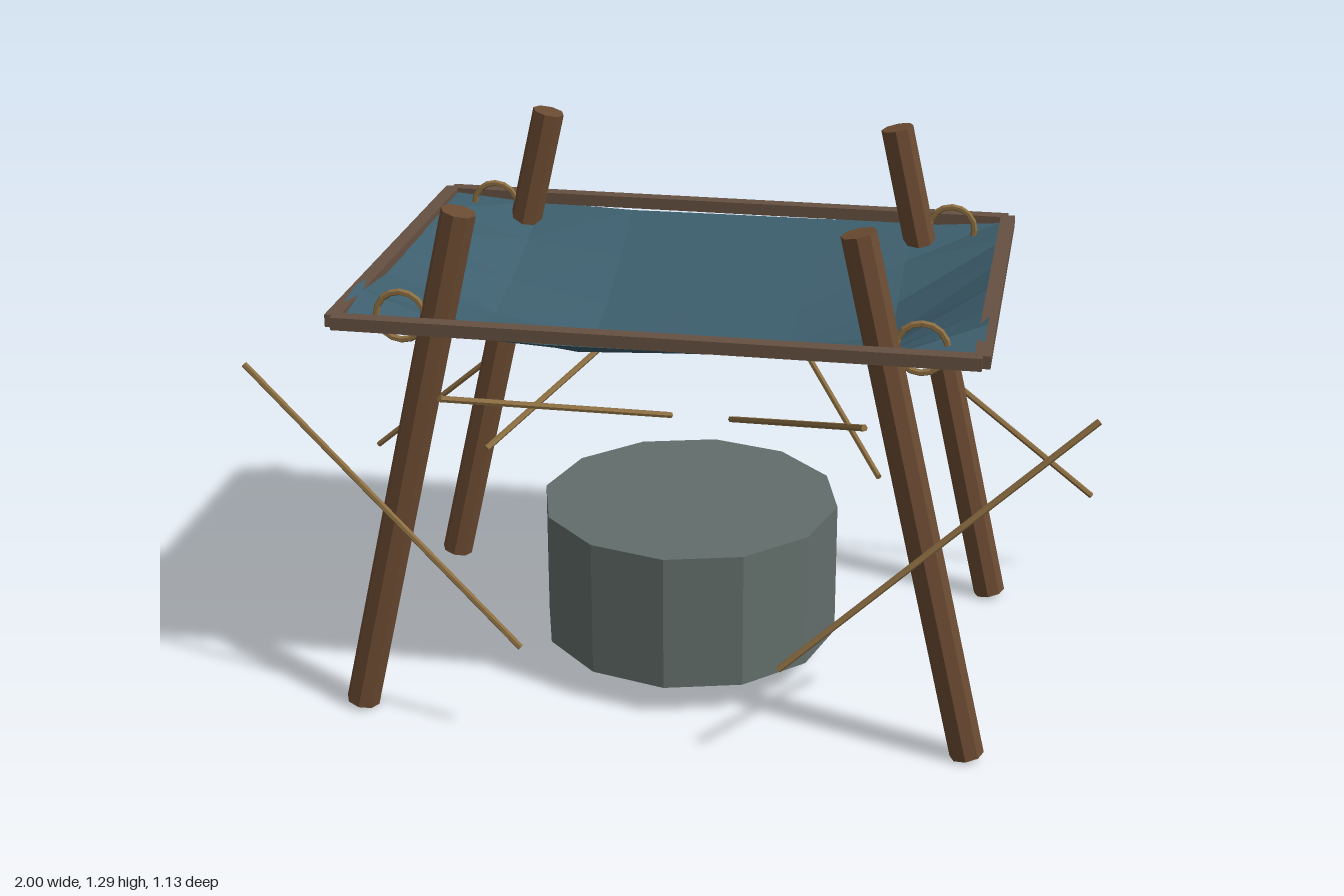
import * as THREE from 'three';

const mat = (name, color) => {
  const m = new THREE.MeshStandardMaterial({ color, flatShading: true });
  m.name = name;
  return m;
};

export function createModel() {
  const group = new THREE.Group();
  const wood = mat('post wood', 0x6b4b32);
  const railWood = mat('rail wood', 0x665142);
  const cloth = mat('blue cloth', 0x3d5e6d);
  cloth.side = THREE.DoubleSide;
  const stone = mat('grey stone', 0x626d6a);
  const rope = mat('rope', 0x8c6e42);

  const add = (name, geometry, material) => {
    const mesh = new THREE.Mesh(geometry, material);
    mesh.name = name;
    group.add(mesh);
    return mesh;
  };

  // Straight round bar between two points
  const bar = (name, from, to, radius, sides, material) => {
    const a = new THREE.Vector3(...from), b = new THREE.Vector3(...to);
    const dir = b.clone().sub(a);
    const mesh = add(name, new THREE.CylinderGeometry(radius, radius, dir.length(), sides), material);
    mesh.position.copy(a).add(b).multiplyScalar(0.5);
    mesh.quaternion.setFromUnitVectors(new THREE.Vector3(0, 1, 0), dir.normalize());
  };

  // Leaning posts and the rope rings that tie the frame to them
  for (const sx of [-1, 1]) {
    for (const sz of [-1, 1]) {
      bar('post', [sx * 0.741, 0.01, sz * 0.435], [sx * 0.45, 1.283, sz * 0.435], 0.041, 8, wood);
      const ring = add('ropeRing', new THREE.TorusGeometry(0.058, 0.008, 6, 16), rope);
      ring.position.set(sx * 0.597, 1.025, sz * 0.435);
    }
  }

  // Rectangular canopy frame
  for (const s of [-1, 1]) {
    add('longRail', new THREE.BoxGeometry(1.47, 0.03, 0.036), railWood).position.set(0, 1.03, s * 0.512);
    add('sideRail', new THREE.BoxGeometry(0.036, 0.03, 1.024), railWood).position.set(s * 0.735, 1.03, 0);
  }

  // Sagging cloth: depth across the width times depth along z
  const sagX = [0, 0.15, 0.213, 0.198, 0.188, 0.15, 0];
  const sagZ = [0.14, 0.48, 0.82, 1, 0.82, 0.48, 0.14];
  const sheet = new THREE.PlaneGeometry(1.47, 1.02, 6, 6).rotateX(-Math.PI / 2);
  const p = sheet.attributes.position;
  for (let i = 0; i < p.count; i++) {
    const col = i % 7, row = Math.floor(i / 7);
    const lift = row === 5 && col % 6 === 0 ? 0.02 : 0;
    p.setY(i, 1.035 - sagX[col] * sagZ[row] + lift);
  }
  sheet.computeVertexNormals();
  add('canopyCloth', sheet, cloth);

  // Twelve-sided drum under the canopy
  add('drum', new THREE.CylinderGeometry(0.372, 0.372, 0.345, 12), stone).position.y = 0.252;

  // Crossing rope lines, mirrored left and right
  for (const s of [-1, 1]) {
    bar('frontOuterLine', [s * 0.995, 0.868, 0.408], [s * 0.305, 0.258, 0.556], 0.008, 6, rope);
    bar('backOuterLine', [s * 0.995, 0.258, -0.556], [s * 0.305, 0.868, -0.408], 0.008, 6, rope);
    bar('frontInnerLine', [s * 0.485, 0.865, 0.53], [s * 0.078, 0.58, -0.147], 0.008, 6, rope);
    bar('backInnerLine', [s * 0.485, 0.58, 0.147], [s * 0.078, 0.865, -0.53], 0.008, 6, rope);
  }

  return group;
}
